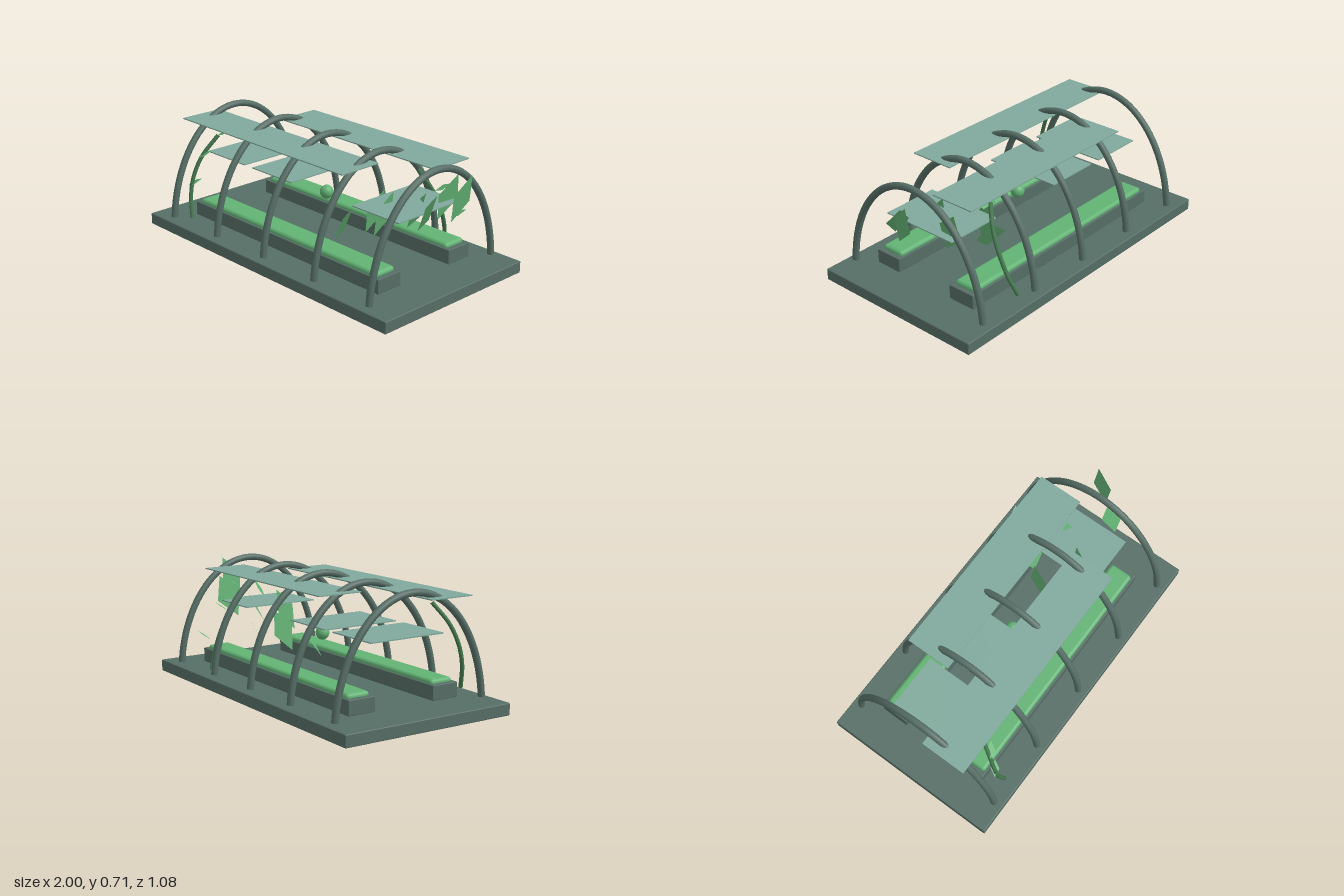
import * as THREE from 'three';
import { RoundedBoxGeometry } from 'three/addons/geometries/RoundedBoxGeometry.js';

const mat = (name, color, side = THREE.FrontSide) => {
  const m = new THREE.MeshStandardMaterial({ color, side });
  m.name = name;
  return m;
};

export function createModel() {
  const group = new THREE.Group();
  const frame = mat('slate green', 0x566e66);
  const glass = mat('pale glass green', 0x80a89c);
  const plant = mat('plant green', 0x62b274);
  const leafMat = mat('leaf green', 0x62b274, THREE.DoubleSide);
  const stem = mat('stem green', 0x457a50);

  const add = (name, geometry, material, x = 0, y = 0, z = 0) => {
    const mesh = new THREE.Mesh(geometry, material);
    mesh.name = name;
    mesh.position.set(x, y, z);
    group.add(mesh);
    return mesh;
  };
  const V = (x, y, z) => new THREE.Vector3(x, y, z);

  // Flat diamond from two half diagonals
  const diamond = (name, centre, d1, d2) => {
    const g = new THREE.BufferGeometry();
    const p = [d1, d2, d1.map(v => -v), d2.map(v => -v)];
    g.setAttribute('position', new THREE.Float32BufferAttribute(p.flat(), 3));
    g.setIndex([0, 1, 2, 0, 2, 3]);
    g.computeVertexNormals();
    add(name, g, leafMat, ...centre);
  };

  // Floor slab
  add('base', new RoundedBoxGeometry(2, 0.07, 1.08, 2, 0.006), frame, 0, 0.035, 0);

  // Five hoops following a half ellipse
  const hoopPoints = [];
  const start = Math.asin(0.08 / 0.695);
  for (let i = 0; i <= 24; i++) {
    const t = start + (Math.PI - 2 * start) * i / 24;
    hoopPoints.push(V(0, 0.695 * Math.sin(t), 0.488 * Math.cos(t)));
  }
  const hoop = new THREE.TubeGeometry(new THREE.CatmullRomCurve3(hoopPoints), 48, 0.02, 12);
  const cap = new THREE.CircleGeometry(0.02, 12);
  for (let i = -2; i <= 2; i++) {
    add('hoop', hoop, frame, i * 0.415, 0, 0);
    for (const s of [-1, 1]) {
      add('hoopEnd', cap, frame, i * 0.415, 0.08, s * 0.485).rotation.x = Math.PI / 2;
    }
  }

  // Planting beds with rounded crops
  for (const s of [-1, 1]) {
    add('bed', new RoundedBoxGeometry(1.545, 0.085, 0.17, 2, 0.004), frame, 0, 0.123, s * 0.276);
    add('crop', new RoundedBoxGeometry(1.485, 0.05, 0.146, 3, 0.02), plant, 0, 0.164, s * 0.276);
  }

  // Roof panels and lower shelves
  add('roofPanel', new THREE.BoxGeometry(1.375, 0.006, 0.272), glass, -0.208, 0.658, 0.206);
  add('roofPanel', new THREE.BoxGeometry(1.24, 0.006, 0.272), glass, 0.136, 0.658, -0.211);
  for (const x of [-0.622, -0.208, 0.622]) {
    add('shelfPanel', new THREE.BoxGeometry(0.343, 0.006, 0.478), glass, x, 0.451, 0);
  }

  // Hanging orb
  add('orb', new THREE.SphereGeometry(0.04, 24, 16), plant, 0, 0.347, 0);

  // Drifting leaves rising towards the right end, alternating in tilt
  const zs = [0.092, -0.054, -0.19];
  const widths = [0.046, 0, 0.075, 0, 0.059, 0, 0.046, 0];
  for (let i = 0; i < 8; i++) {
    const centre = [0.235 + i * 0.1035, (i % 2 ? 0.311 : 0.237) + Math.floor(i / 2) * 0.0825, zs[i % 3]];
    if (i % 2) {
      const w = i === 5 ? 0.077 : i === 3 ? 0.05 : 0.06;
      diamond('driftingLeaf', centre, [0.023, 0.125, -0.051], [0.002, -0.026, -w]);
    } else {
      diamond('driftingLeaf', centre, [0.022, 0.0925, -0.048], [-widths[i], 0.01, -0.04]);
    }
  }

  // Climbing vines with small leaves
  const vines = [
    {
      path: [V(-0.69, 0.105, 0.456), V(-0.722, 0.24, 0.435), V(-0.722, 0.35, 0.41),
        V(-0.7, 0.47, 0.36), V(-0.652, 0.595, 0.27)],
      leaves: [[-0.615, 0.618, 0.255], [-0.675, 0.49, 0.355], [-0.713, 0.317, 0.408]],
    },
    {
      path: [V(0.515, 0.085, -0.45), V(0.547, 0.2, -0.405), V(0.555, 0.34, -0.345),
        V(0.535, 0.45, -0.29), V(0.488, 0.555, -0.235)],
      leaves: [[0.525, 0.59, -0.275], [0.588, 0.448, -0.335], [0.625, 0.277, -0.435]],
    },
  ];
  for (const { path, leaves } of vines) {
    add('vine', new THREE.TubeGeometry(new THREE.CatmullRomCurve3(path), 32, 0.012, 8), stem);
    for (const p of leaves) diamond('vineLeaf', p, [0.037, 0.026, -0.026], [0.014, -0.008, 0.02]);
  }

  return group;
}
